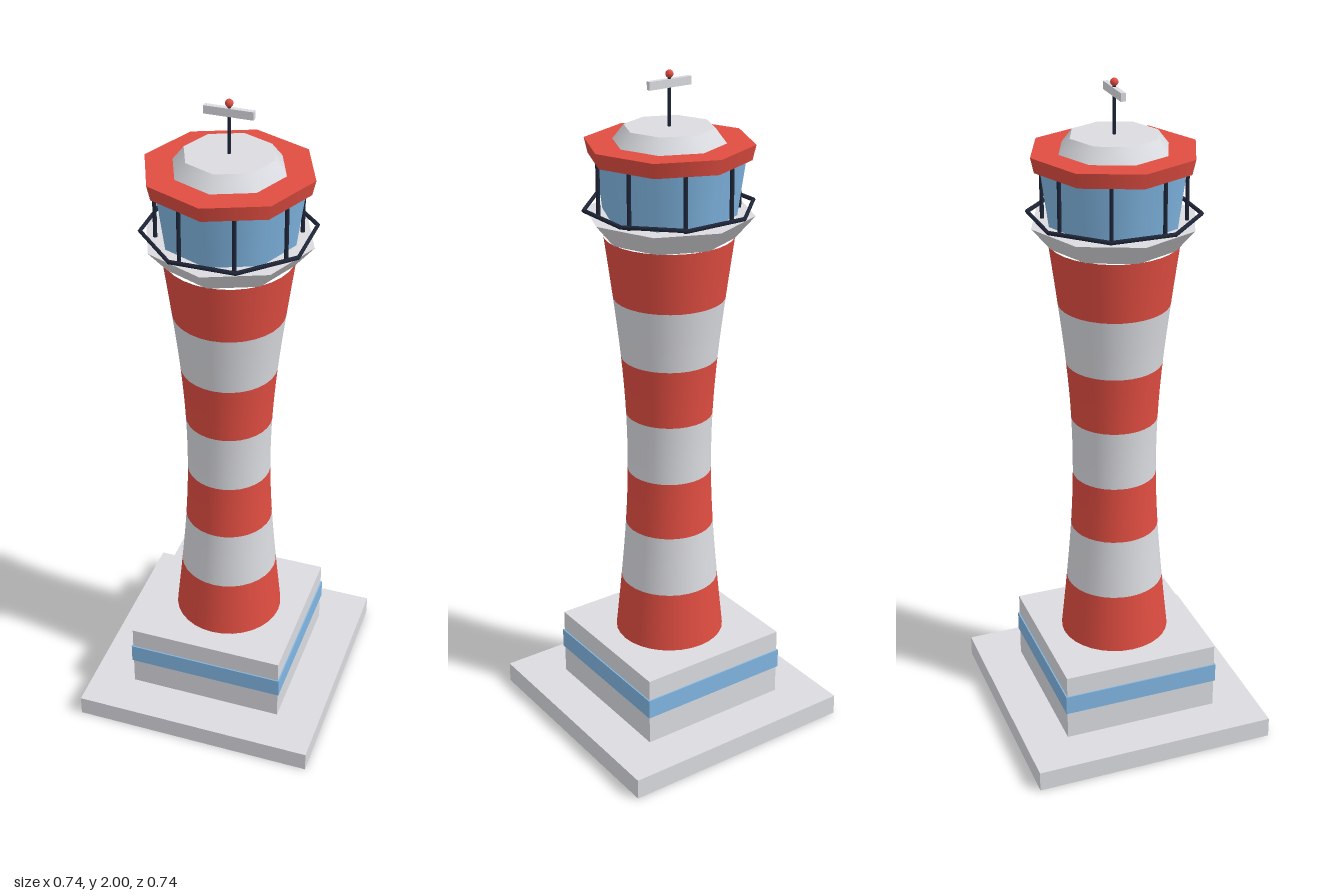
import * as THREE from 'three';

const makeMaterial = (name, color) => {
  const m = new THREE.MeshStandardMaterial({ color });
  m.name = name;
  return m;
};

export function createModel() {
  const white = makeMaterial('paleGrey', 0xdadbe0);
  const red = makeMaterial('red', 0xe04d41);
  const blue = makeMaterial('glassBlue', 0x80b6e2);
  const dark = makeMaterial('darkNavy', 0x1e2538);

  const model = new THREE.Group();
  model.name = 'lighthouse';

  const add = (name, geometry, material, x = 0, y = 0, z = 0) => {
    const mesh = new THREE.Mesh(geometry, material);
    mesh.name = name;
    mesh.position.set(x, y, z);
    model.add(mesh);
    return mesh;
  };
  // Box and tapered drum given by their bottom and top heights
  const box = (name, w, d, y0, y1, material) =>
    add(name, new THREE.BoxGeometry(w, y1 - y0, d), material, 0, (y0 + y1) / 2);
  const drum = (name, r0, r1, y0, y1, sides, material, x = 0, z = 0) =>
    add(name, new THREE.CylinderGeometry(r1, r0, y1 - y0, sides), material, x, (y0 + y1) / 2, z);

  // Stepped square base with a painted band
  box('plinth', 0.74, 0.74, 0, 0.063, white);
  box('baseBlock', 0.476, 0.476, 0.063, 0.277, white);
  box('baseBand', 0.484, 0.484, 0.152, 0.212, blue);

  // Waisted tower, cut into seven striped sections along one smooth curve
  const curve = new THREE.SplineCurve([
    [0.164, 0.277], [0.146, 0.458], [0.131, 0.642], [0.124, 0.818],
    [0.127, 1.0], [0.14, 1.178], [0.161, 1.36], [0.185, 1.542],
  ].map(([r, y]) => new THREE.Vector2(r, y)));
  for (let i = 0; i < 7; i++) {
    const profile = [];
    for (let j = 0; j <= 4; j++) profile.push(curve.getPoint((i + j / 4) / 7));
    add('towerStripe' + (i + 1), new THREE.LatheGeometry(profile, 32), i % 2 ? white : red);
  }

  // Flared gallery and glazed lantern room
  drum('gallery', 0.185, 0.241, 1.54, 1.606, 8, white);
  drum('lanternGlass', 0.19, 0.212, 1.606, 1.763, 8, blue);
  for (let i = 0; i < 8; i++) {
    const a = (i + 0.5) * Math.PI / 4;
    drum('glazingBar' + (i + 1), 0.006, 0.006, 1.606, 1.763, 8,
      dark, Math.cos(a) * 0.2, Math.sin(a) * 0.2);
  }

  // Eight-sided handrail
  const rail = new THREE.TorusGeometry(0.241, 0.006, 6, 8);
  rail.rotateX(Math.PI / 2).rotateY(Math.PI / 8);
  add('handrail', rail, dark, 0, 1.625);

  // Roof
  drum('roofRim', 0.229, 0.239, 1.763, 1.806, 8, red);
  drum('roofCap', 0.159, 0.127, 1.806, 1.847, 8, white);

  // Mast with radar bar and warning light
  drum('mast', 0.005, 0.005, 1.847, 1.982, 8, dark);
  box('radarBar', 0.137, 0.014, 1.953, 1.976, white);
  add('warningLight', new THREE.SphereGeometry(0.011, 16, 12), red, 0, 1.989);

  return model;
}
